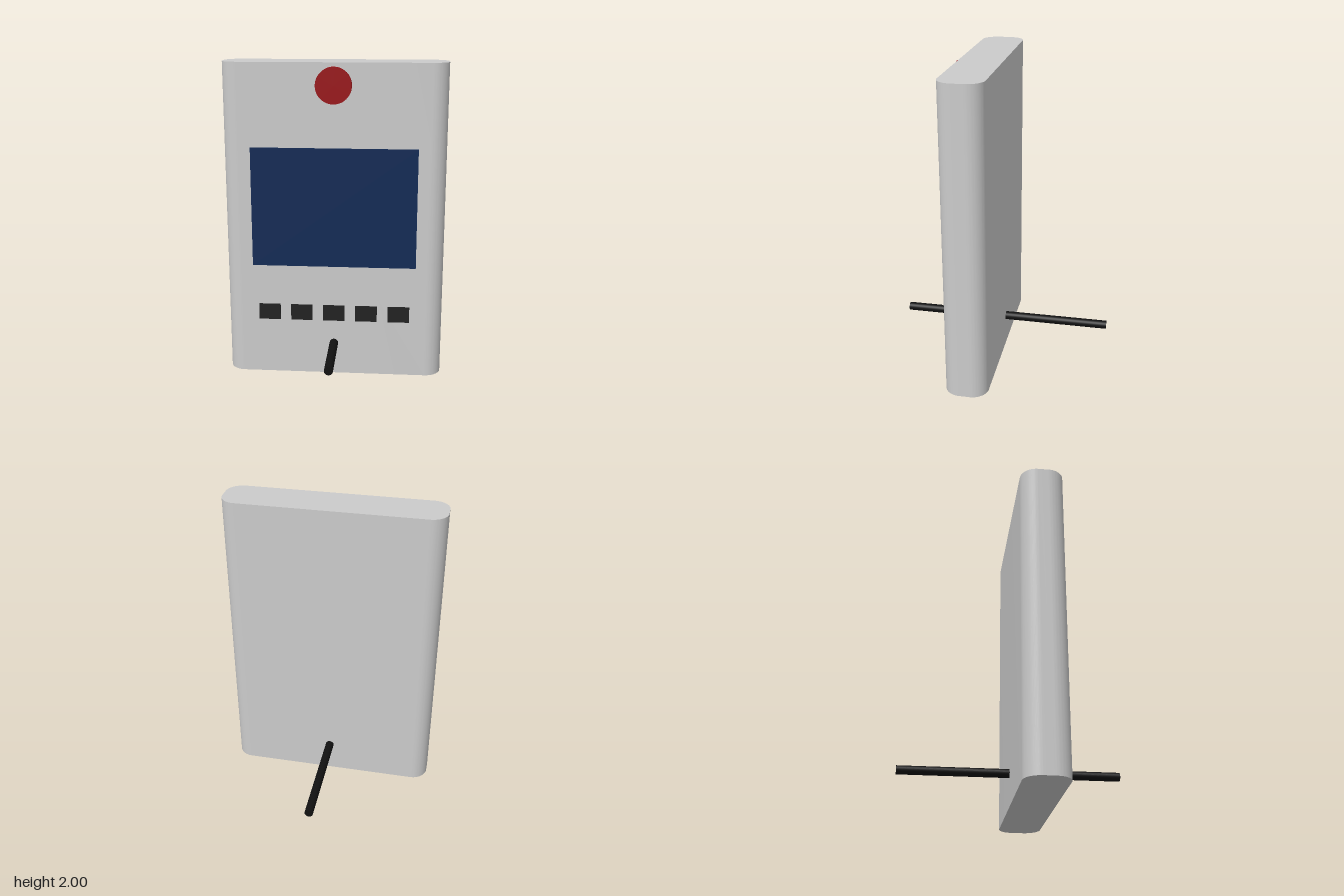
import * as THREE from 'three';
import { toCreasedNormals } from 'three/addons/utils/BufferGeometryUtils.js';

const HALF_W = 0.69, HEIGHT = 2, DEPTH = 0.275, CORNER = 0.103;

export function createModel() {
  const model = new THREE.Group();
  model.name = 'wallTerminal';

  const add = (name, geometry, color, x, y, z) => {
    const mesh = new THREE.Mesh(geometry, new THREE.MeshStandardMaterial({ color }));
    mesh.name = name;
    mesh.position.set(x, y, z);
    model.add(mesh);
    return mesh;
  };

  // Housing: rounded-rectangle footprint extruded upwards
  const s = new THREE.Shape();
  const w = HALF_W, d = DEPTH / 2, r = CORNER;
  s.moveTo(-w + r, -d);
  s.lineTo(w - r, -d);
  s.absarc(w - r, -d + r, r, -Math.PI / 2, 0);
  s.lineTo(w, d - r);
  s.absarc(w - r, d - r, r, 0, Math.PI / 2);
  s.lineTo(-w + r, d);
  s.absarc(-w + r, d - r, r, Math.PI / 2, Math.PI);
  s.lineTo(-w, -d + r);
  s.absarc(-w + r, -d + r, r, Math.PI, Math.PI * 1.5);
  const housing = new THREE.ExtrudeGeometry(s, { depth: HEIGHT, bevelEnabled: false, curveSegments: 12 });
  housing.rotateX(-Math.PI / 2);
  add('housing', toCreasedNormals(housing, 0.6), 0xcccccc, 0, 0, d);

  // Display panel, slightly proud of the front
  add('screen', new THREE.BoxGeometry(1.03, 0.755, 0.014), 0x112a55, 0, 1.107, 0.275);

  // Row of five keys
  for (let i = -2; i <= 2; i++) {
    add(`key${i + 3}`, new THREE.BoxGeometry(0.138, 0.103, 0.014), 0x222222, i * 0.206, 0.417, 0.275);
  }

  // Round alarm button
  const button = new THREE.CylinderGeometry(0.11, 0.11, 0.07, 48).rotateX(Math.PI / 2);
  add('alarmButton', button, 0x990f14, 0, 1.865, 0.274);

  // Rod passing through the housing from front to back
  const rod = new THREE.CylinderGeometry(0.0275, 0.0275, 1.38, 32).rotateX(Math.PI / 2);
  add('rod', rod, 0x111111, 0, 0.21, 0);

  return model;
}
